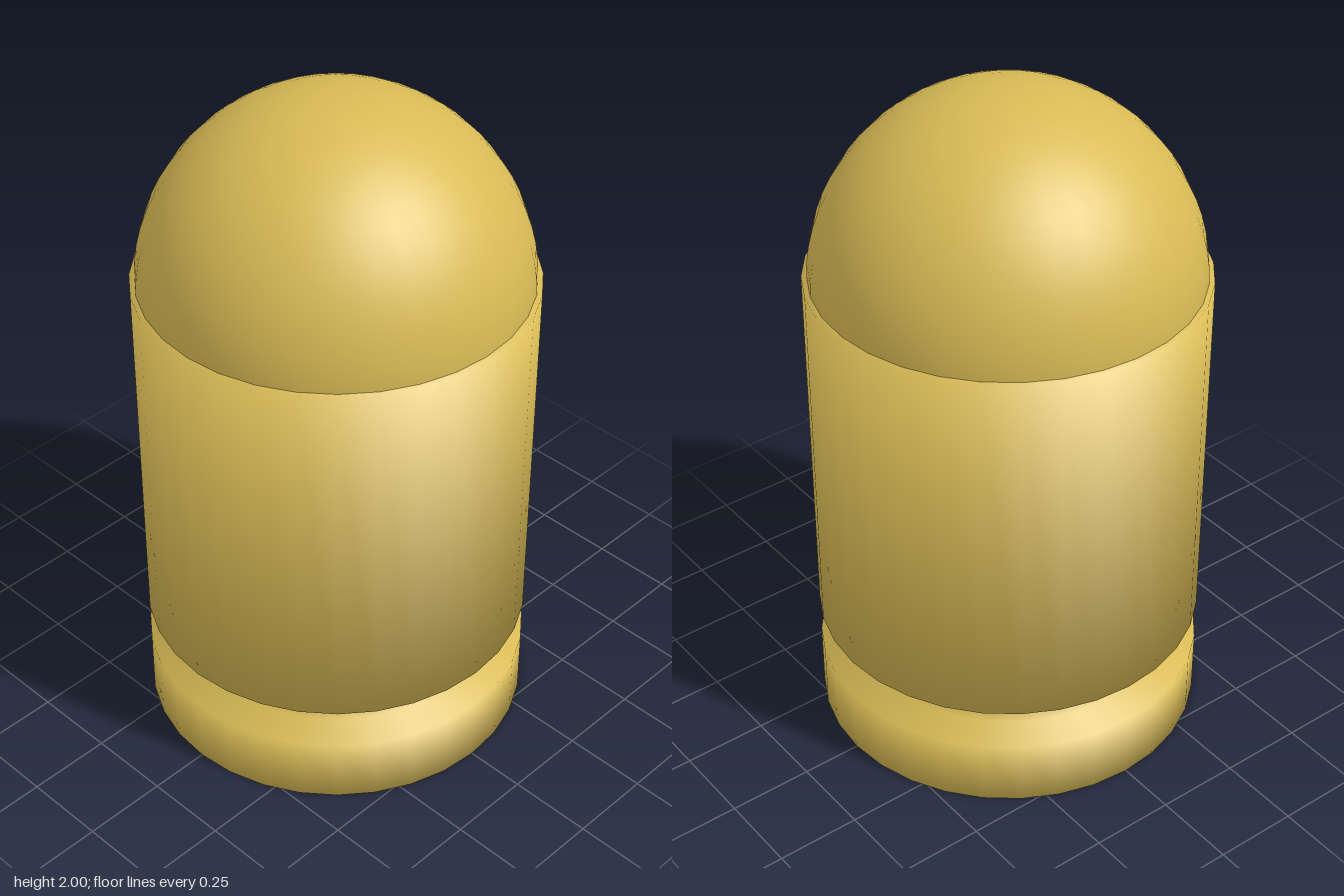
import * as THREE from 'three';

const SIDES = 32;

// Lathe whose rim normals blend neighbouring faces equally, for soft-shaded edges
function softLathe(profile) {
  const points = profile.map(([r, y]) => new THREE.Vector2(r, y));
  const geometry = new THREE.LatheGeometry(points, SIDES);
  const facing = points.slice(1).map((p, i) => {
    const d = p.clone().sub(points[i]).normalize();
    return new THREE.Vector2(d.y, -d.x);
  });
  const normals = geometry.attributes.normal;
  for (let i = 0; i <= SIDES; i++) {
    const phi = (i / SIDES) * Math.PI * 2;
    points.forEach((p, j) => {
      const n = (facing[j - 1] ?? facing[j]).clone().add(facing[j] ?? facing[j - 1]).normalize();
      normals.setXYZ(i * points.length + j, n.x * Math.sin(phi), n.y, n.x * Math.cos(phi));
    });
  }
  return geometry;
}

export function createModel() {
  const model = new THREE.Group();
  model.name = 'domedCylinder';
  const brass = new THREE.MeshStandardMaterial({ color: 0xd9bb55 });
  brass.name = 'brass';

  // Base disc, recessed neck and cylindrical body in one turned profile
  const body = new THREE.Mesh(softLathe([
    [0, 0], [0.57, 0], [0.57, 0.2],
    [0.46, 0.2], [0.46, 0.33],
    [0.57, 0.33], [0.57, 1.455], [0.5, 1.455],
  ]), brass);
  body.name = 'body';
  model.add(body);

  // Hemispherical top, set just inside the body's rim
  const dome = new THREE.Mesh(
    new THREE.SphereGeometry(0.555, SIDES, 16, 0, Math.PI * 2, 0, Math.PI / 2), brass);
  dome.name = 'dome';
  dome.position.y = 1.445;
  model.add(dome);

  return model;
}
